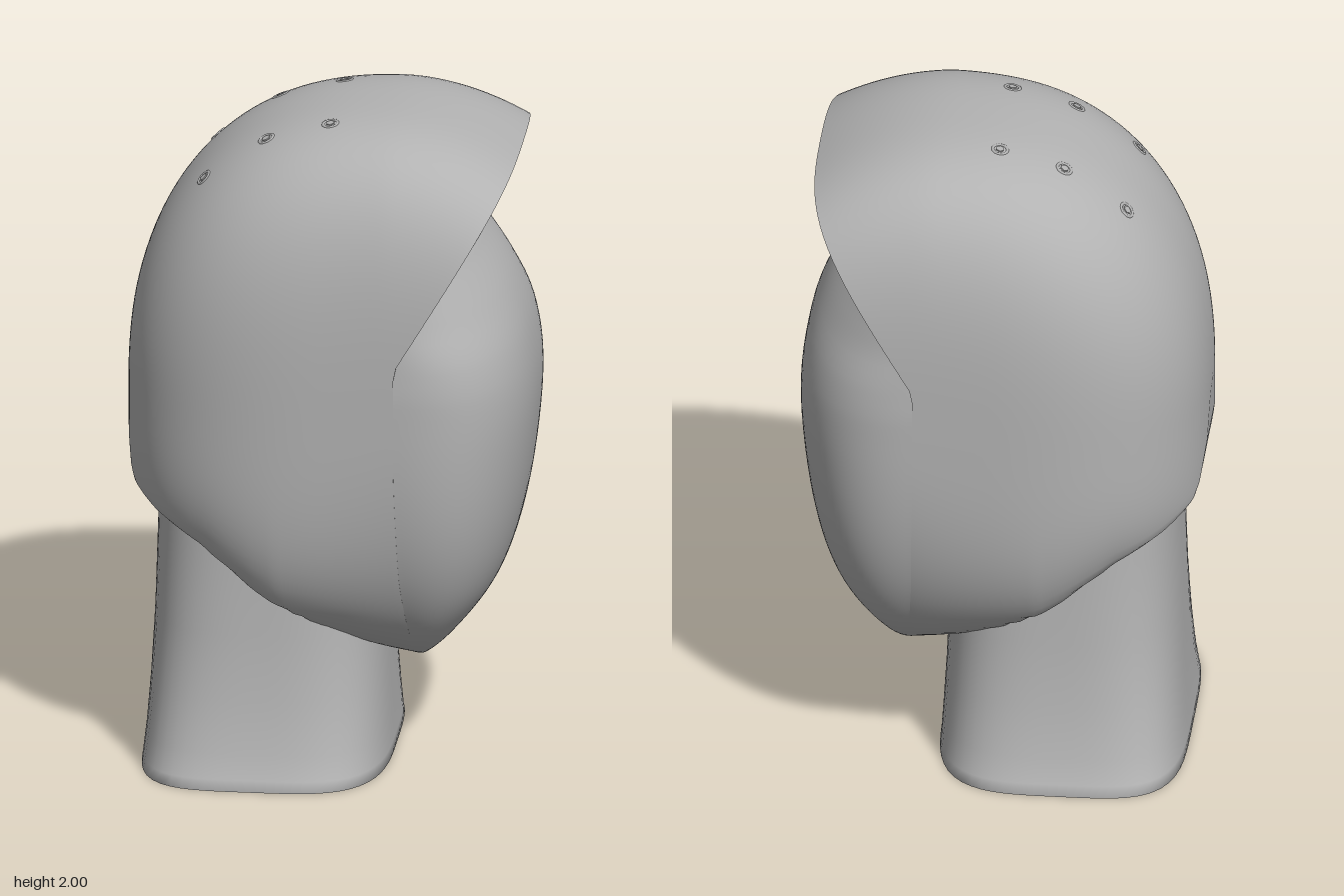
import * as THREE from 'three';

const grey = new THREE.MeshStandardMaterial({ color: 0xb2b2b2 });
grey.name = 'plain grey';

const clamp = THREE.MathUtils.clamp;
const MID = 1.15; // height of the widest part of the head

// Piecewise linear lookup in a list of [input, output] pairs
function lookup(table, t) {
  for (let i = 1; i < table.length; i++) {
    const [a, va] = table[i - 1], [b, vb] = table[i];
    if (t <= b) return va + (vb - va) * clamp((t - a) / (b - a), 0, 1);
  }
  return table[table.length - 1][1];
}

// Smooth surface from a rule p(u, v) -> [x, y, z]; wrap closes it in v
function surface(name, p, nu, nv, wrap = false) {
  const pos = [], idx = [], cols = wrap ? nv : nv + 1;
  for (let i = 0; i <= nu; i++)
    for (let j = 0; j < cols; j++) pos.push(...p(i / nu, j / nv));
  for (let i = 0; i < nu; i++)
    for (let j = 0; j < nv; j++) {
      const k = (j + 1) % cols;
      const a = i * cols + j, b = a + cols, d = i * cols + k, c = d + cols;
      idx.push(a, b, d, b, c, d);
    }
  const g = new THREE.BufferGeometry();
  g.setAttribute('position', new THREE.Float32BufferAttribute(pos, 3));
  g.setIndex(idx);
  g.computeVertexNormals();
  const mesh = new THREE.Mesh(g, grey);
  mesh.name = name;
  return mesh;
}

// Unit superellipse point in the direction of angle a
function squircle(a, n) {
  const c = Math.cos(a), s = Math.sin(a);
  const k = Math.pow(Math.abs(c) ** n + Math.abs(s) ** n, 1 / n);
  return [c / k, s / k];
}

// Head outline: everything is a function of x, with the face towards +x
const backRound = (x, from, p) => x > from ? 1
  : Math.pow(Math.max(0, 1 - Math.pow(Math.min(1, (from - x) / (from + 0.605)), p)), 1 / p);
const topY = x => x > 0.15 ? 2 - 0.12 * ((x - 0.15) / 0.405) ** 2
  : MID + 0.85 * backRound(x, 0.15, 2.3);
const rim = [[-0.605, 1.15], [-0.6, 1.0], [-0.585, 0.9], [-0.57, 0.86], [-0.45, 0.785],
  [-0.35, 0.735], [-0.2, 0.61], [0, 0.48], [0.27, 0.305]];
const rimY = x => lookup(rim, x);
const halfWidth = x => 0.55 * backRound(x, 0.02, 2.55);
const towardBack = x => clamp((0.27 - x) / 0.4, 0, 1);
const upperN = x => 2.6 + 1.2 * clamp((x + 0.6) / 0.8, 0, 1);
const lowerN = x => 2.3 + 1.4 * towardBack(x);
const lowerH = x => MID - rimY(x) + 0.12 * towardBack(x);
const crownArch = 0.03; // extra fall of the crown towards its sides

// Front edge of the shell: seam around the face, then the slanted brow
const frontX = y => y > 1.34 ? 0.23 + (y - 1.34) * 0.602
  : lookup([[0.31, 0.27], [0.65, 0.24], [1.0, 0.23], [1.34, 0.23]], y);

// Half width of the head at x and height y
function widthAt(x, y) {
  const up = y > MID, n = up ? upperN(x) : lowerN(x);
  const f = Math.min(1, Math.abs(y - MID) / (up ? topY(x) - MID : lowerH(x)));
  return halfWidth(x) * Math.pow(1 - f ** n, 1 / n);
}

function shellPoint(u, v) {
  const a = v * Math.PI * 2, up = Math.cos(a) >= 0;
  const t = 1 - Math.cos(u * Math.PI / 2);
  let x = -0.605 + 0.85 * t, y = MID, z = 0;
  for (let i = 0; i < 30; i++) {
    const [c, s] = squircle(a, up ? upperN(x) : lowerN(x));
    y = up ? MID + c * (topY(x) - MID - crownArch * s * s)
      : Math.max(MID + c * lowerH(x), rimY(x));
    z = -s * halfWidth(x);
    x = (x - 0.605 + (frontX(y) + 0.605) * t) / 2;
  }
  return [x, y, z];
}

// Face: rounded mask bulging forward of the seam, arched under the brow
const faceProfile = new THREE.SplineCurve([[0.27, 0.305], [0.38, 0.41], [0.5, 0.58], [0.567, 0.8],
  [0.602, 1.1], [0.585, 1.3], [0.53, 1.45], [0.45, 1.57], [0.4, 1.618], [0.25, 1.67]]
  .map(p => new THREE.Vector2(...p)));

function facePoint(u, v) {
  const p = faceProfile.getPoint(u ** 1.7);
  const rise = THREE.MathUtils.smoothstep(p.y, 1.2, 1.62);
  const [c, s] = squircle((v - 0.5) * Math.PI, 2.6 - 0.6 * rise);
  const seam = Math.min(frontX(p.y), p.y > 1.2 ? 0.23 - 0.04 * clamp((p.y - 1.34) / 0.1, 0, 1) : 1);
  const inset = 0.998 - 0.035 * clamp((p.y - 1.25) / 0.25, 0, 1);
  return [seam + (p.x - seam) * Math.max(0, c), p.y, s * inset * widthAt(seam, p.y)];
}

// Neck: flared hollow tube; rows are [y, back x, front x, half width]
const neckRows = [[0, -0.55, 0.185, 0.52], [0.03, -0.547, 0.182, 0.503], [0.1, -0.54, 0.178, 0.474],
  [0.25, -0.53, 0.17, 0.438], [0.45, -0.522, 0.163, 0.413], [0.7, -0.515, 0.155, 0.4],
  [0.92, -0.51, 0.15, 0.39]];
const neckPath = [...neckRows.map(r => [...r, 0.018]).reverse(), ...neckRows.map(r => [...r, 0])];

function neckPoint(u, v) {
  const [y, b, f, w, wall] = neckPath[Math.round(u * (neckPath.length - 1))];
  const a = v * Math.PI * 2, flare = 1 - clamp(y / 0.5, 0, 1);
  // Squarer corners at the back than at the front
  const [c, s] = squircle(a, 3 + flare * (Math.cos(a) < 0 ? 1.2 : 0.5));
  return [(b + f) / 2 + c * ((f - b) / 2 - wall), y, s * (w - wall)];
}

// Stadium outline used for the slot trim
function stadium(Type, halfLength, r) {
  const s = new Type(), e = halfLength - r;
  s.absarc(e, 0, r, -Math.PI / 2, Math.PI / 2, false);
  s.absarc(-e, 0, r, Math.PI / 2, Math.PI * 1.5, false);
  s.closePath();
  return s;
}

function browSlot() {
  const shape = stadium(THREE.Shape, 0.438, 0.073);
  shape.holes.push(stadium(THREE.Path, 0.427, 0.062));
  const g = new THREE.ExtrudeGeometry(shape, { depth: 0.005, bevelEnabled: false, curveSegments: 16 });
  const mesh = new THREE.Mesh(g, grey);
  mesh.name = 'browSlotTrim';
  const up = new THREE.Vector3(0.516, 0.857, 0), out = new THREE.Vector3(0.857, -0.516, 0);
  mesh.quaternion.setFromRotationMatrix(
    new THREE.Matrix4().makeBasis(new THREE.Vector3(0, 0, -1), up, out));
  mesh.position.set(frontX(1.698), 1.698, 0);
  return mesh;
}

// Small round socket with a hexagonal centre, set flush into the crown
function crownStud(x, z) {
  const stud = new THREE.Group();
  stud.name = 'crownStud';
  const ring = new THREE.Mesh(new THREE.TorusGeometry(0.022, 0.005, 8, 24).rotateX(Math.PI / 2), grey);
  ring.name = 'studRing';
  const hex = new THREE.Mesh(new THREE.CylinderGeometry(0.013, 0.013, 0.01, 6), grey);
  hex.name = 'studHexagon';
  stud.add(ring, hex);
  const surfaceY = (q, side) => {
    const n = upperN(q), s = Math.abs(side / halfWidth(q));
    return MID + (topY(q) - MID - crownArch * s * s) * Math.pow(1 - s ** n, 1 / n);
  };
  const e = 0.02;
  const normal = new THREE.Vector3(surfaceY(x - e, z) - surfaceY(x + e, z), 2 * e,
    surfaceY(x, z - e) - surfaceY(x, z + e)).normalize();
  stud.quaternion.setFromUnitVectors(new THREE.Vector3(0, 1, 0), normal);
  stud.position.set(x, surfaceY(x, z), z).addScaledVector(normal, -0.002);
  return stud;
}

export function createModel() {
  const model = new THREE.Group();
  model.name = 'helmetedHead';
  model.add(
    surface('headShell', shellPoint, 56, 128, true),
    // Flat underside of the brow, spanning the front edge of the shell
    surface('browUnderside', (u, v) => {
      const [x, y, z] = shellPoint(1, u / 2);
      return [x, y, Math.abs(z) * (1 - 2 * v)];
    }, 64, 1),
    surface('face', facePoint, 64, 64),
    surface('neck', neckPoint, neckPath.length - 1, 80, true),
    browSlot(),
  );
  for (const x of [-0.37, -0.185, 0.005])
    for (const z of [-0.19, 0.19]) model.add(crownStud(x, z));
  return model;
}
